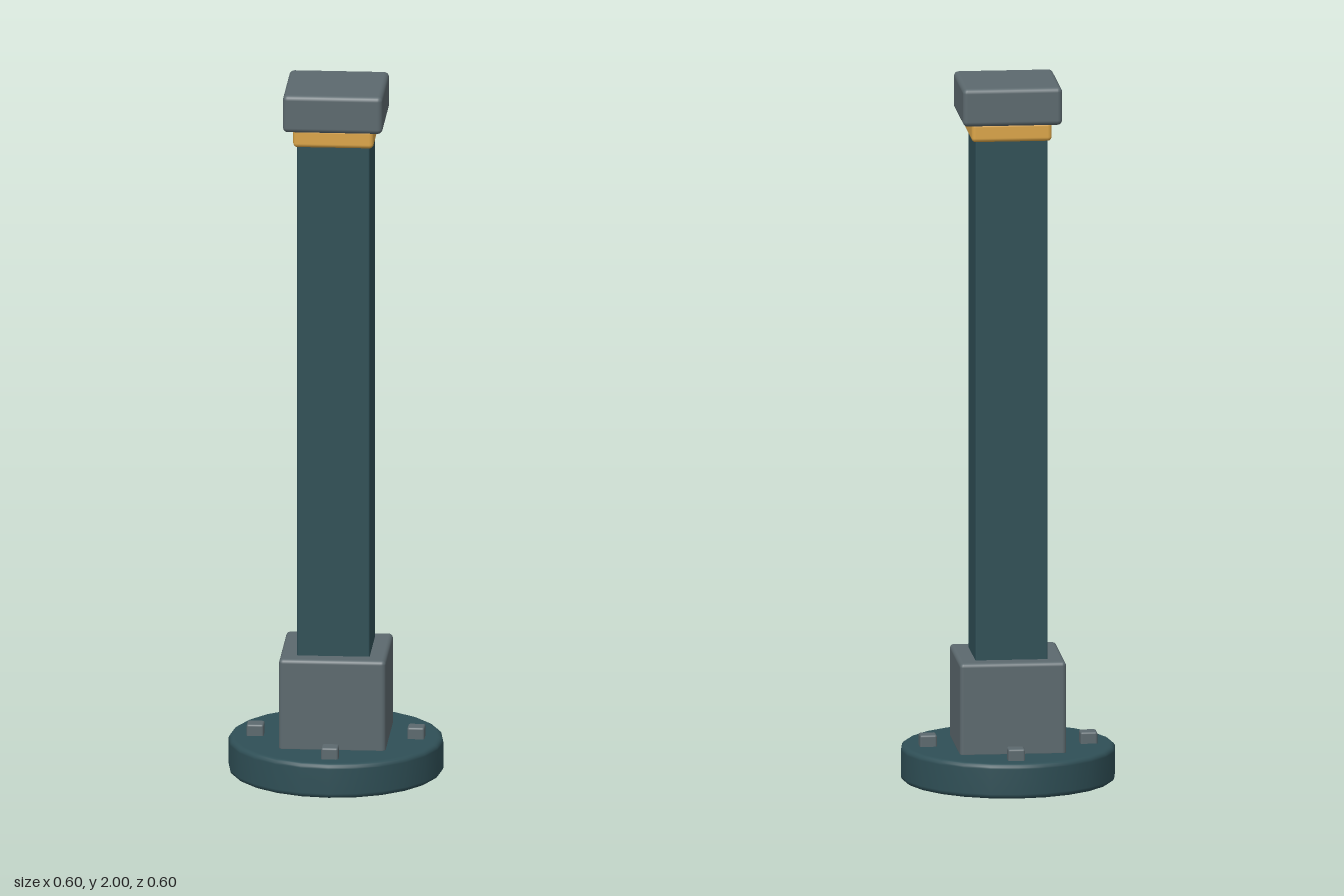
import * as THREE from 'three';
import { RoundedBoxGeometry } from 'three/addons/geometries/RoundedBoxGeometry.js';

const teal = new THREE.MeshStandardMaterial({ color: 0x2f4f56 });
const steel = new THREE.MeshStandardMaterial({ color: 0x5c696e });
const gold = new THREE.MeshStandardMaterial({ color: 0xdba548 });

export function createModel() {
  const group = new THREE.Group();

  // Square block with softened edges, spanning y0 to y1
  function block(name, width, y0, y1, radius, material, x = 0, z = 0) {
    const mesh = new THREE.Mesh(new RoundedBoxGeometry(width, y1 - y0, width, 3, radius), material);
    mesh.name = name;
    mesh.position.set(x, (y0 + y1) / 2, z);
    group.add(mesh);
  }

  // Round base plate: 24 sides with rounded rims
  const R = 0.302, H = 0.1, r = 0.014;
  const profile = [new THREE.Vector2(0, 0), new THREE.Vector2(R - r - 0.004, 0)];
  for (const [cy, start] of [[r, -Math.PI / 2], [H - r, 0]]) {
    for (let i = 0; i <= 4; i++) {
      const a = start + (i / 4) * (Math.PI / 2);
      profile.push(new THREE.Vector2(R - r + r * Math.cos(a), cy + r * Math.sin(a)));
    }
  }
  profile.push(new THREE.Vector2(R - r - 0.004, H), new THREE.Vector2(0, H));
  const base = new THREE.Mesh(new THREE.LatheGeometry(profile, 24), teal);
  base.name = 'basePlate';
  group.add(base);

  // Square column, from plinth to cap
  block('plinth', 0.3, 0.09, 0.36, 0.012, steel);
  block('shaft', 0.204, 0.34, 1.86, 0.004, teal);
  block('collar', 0.226, 1.842, 1.897, 0.012, gold);
  block('cap', 0.28, 1.892, 2.0, 0.014, steel);

  // Four bolts around the plinth
  for (let i = 0; i < 4; i++) {
    const a = (i * Math.PI) / 2;
    block('bolt', 0.048, 0.085, 0.133, 0.006, steel, 0.226 * Math.cos(a), 0.226 * Math.sin(a));
  }
  return group;
}
